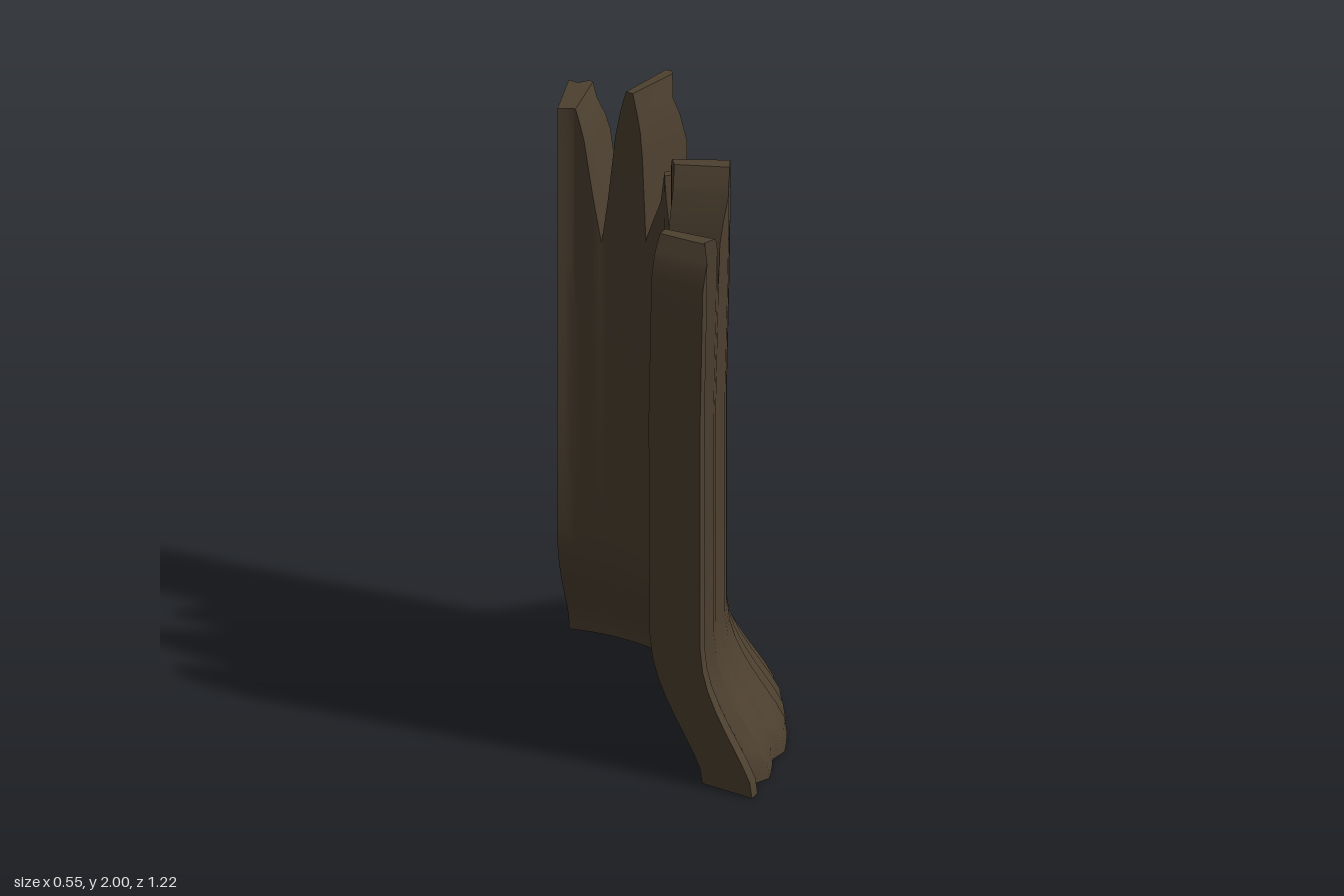
import * as THREE from 'three';
import { toCreasedNormals } from 'three/addons/utils/BufferGeometryUtils.js';

// Axis of the hollow trunk this splintered shell belongs to
const AXIS_X = -0.488, AXIS_Z = -0.041;
const OUTER = 0.575, INNER = 0.41;

// Bark ridges: angle in degrees, radius at the foot
const BARK = [
  [-50, .743], [-47, .73], [-44, .762], [-41.2, .735], [-37.8, .757], [-34.7, .727],
  [-31.6, .761], [-28.6, .738], [-24.5, .756], [-19.5, .746], [-16.7, .76], [-13.5, .723],
  [-10.5, .761], [-7, .728], [-4.4, .765], [1.6, .758], [7, .744], [10.7, .756],
  [13.1, .732], [16.6, .755], [19, .723], [22.8, .752], [25.6, .73], [29, .753],
  [37.6, .755], [41.3, .729], [49.5, .751], [53.4, .718], [56.3, .753], [59, .754],
];

// Splintered rim: angle in degrees, height
const RIM = [
  [-50, 1.88], [-43, 1.88], [-39, 1.78], [-31, 1.45], [-25, 1.83], [-21.5, 1.93],
  [-18.5, 2], [-15.5, 2], [-12, 1.88], [-6, 1.53], [-1, 1.62], [3, 1.7], [8, 1.82],
  [11, 1.82], [14, 1.72], [18, 1.58], [23, 1.76], [27, 1.92], [30, 1.96], [34, 1.96],
  [37, 1.9], [40, 1.8], [44, 1.6], [47.5, 1.74], [50, 1.81], [54, 1.81], [57, 1.75], [59, 1.68],
];

// Outward spread of both walls by height, widest at the roots
const FLARE = [
  [0, .175], [.05, .168], [.1, .143], [.15, .114], [.2, .084], [.26, .052],
  [.32, .026], [.38, .009], [.46, 0], [1.2, 0], [1.7, .01], [2, .01],
];

function sample(table, t) {
  for (let i = 1; i < table.length; i++) {
    const [a, va] = table[i - 1], [b, vb] = table[i];
    if (t <= b) return va + (vb - va) * (t - a) / (b - a);
  }
  return table[table.length - 1][1];
}

function shellGeometry() {
  // Columns fall on every ridge and every corner of the rim
  const angles = [...new Set([...BARK, ...RIM].map(p => p[0]))].sort((a, b) => a - b);
  const lowRows = FLARE.slice(0, 9).map(p => p[0]).concat(0.8, 1.2);
  const upSteps = [0.25, 0.5, 0.75, 1];
  const rows = lowRows.length + upSteps.length, ring = rows * 2;
  const pos = [], index = [];

  for (const deg of angles) {
    const a = THREE.MathUtils.degToRad(deg), top = sample(RIM, deg);
    const ys = [...lowRows, ...upSteps.map(k => 1.2 + (top - 1.2) * k)];
    const ridge = sample(BARK, deg) - 0.75;
    const put = (r, y) => pos.push(AXIS_X + r * Math.cos(a), y, AXIS_Z + r * Math.sin(a));
    // Outer bark going up, inner wood coming down
    for (const y of ys) put(OUTER + sample(FLARE, y) + ridge * (y < 0.3 ? 1 - y : 0.7), y);
    for (const y of ys.reverse()) {
      put(INNER + sample(FLARE, y) + 0.006 * Math.sin(deg * 0.4) * Math.min(1, y), y);
    }
  }

  const quad = (a, b, c, d) => index.push(a, b, c, a, c, d);
  // Walls, rim and underside
  for (let i = 0; i < angles.length - 1; i++) {
    for (let k = 0; k < ring; k++) {
      const n = (k + 1) % ring, p = i * ring, q = p + ring;
      quad(p + k, p + n, q + n, q + k);
    }
  }
  // Split faces at both ends
  const last = (angles.length - 1) * ring;
  for (let j = 0; j < rows - 1; j++) {
    const o = j, i = ring - 1 - j;
    quad(o, i, i - 1, o + 1);
    quad(last + o, last + o + 1, last + i - 1, last + i);
  }

  const geo = new THREE.BufferGeometry();
  geo.setAttribute('position', new THREE.Float32BufferAttribute(pos, 3));
  geo.setIndex(index);
  return toCreasedNormals(geo, 0.85);
}

export function createModel() {
  const bark = new THREE.MeshStandardMaterial({ color: 0x4d4030 });
  bark.name = 'dark brown bark';
  const shell = new THREE.Mesh(shellGeometry(), bark);
  shell.name = 'brokenTrunkShell';
  const group = new THREE.Group();
  group.name = 'brokenTrunk';
  group.add(shell);
  return group;
}
